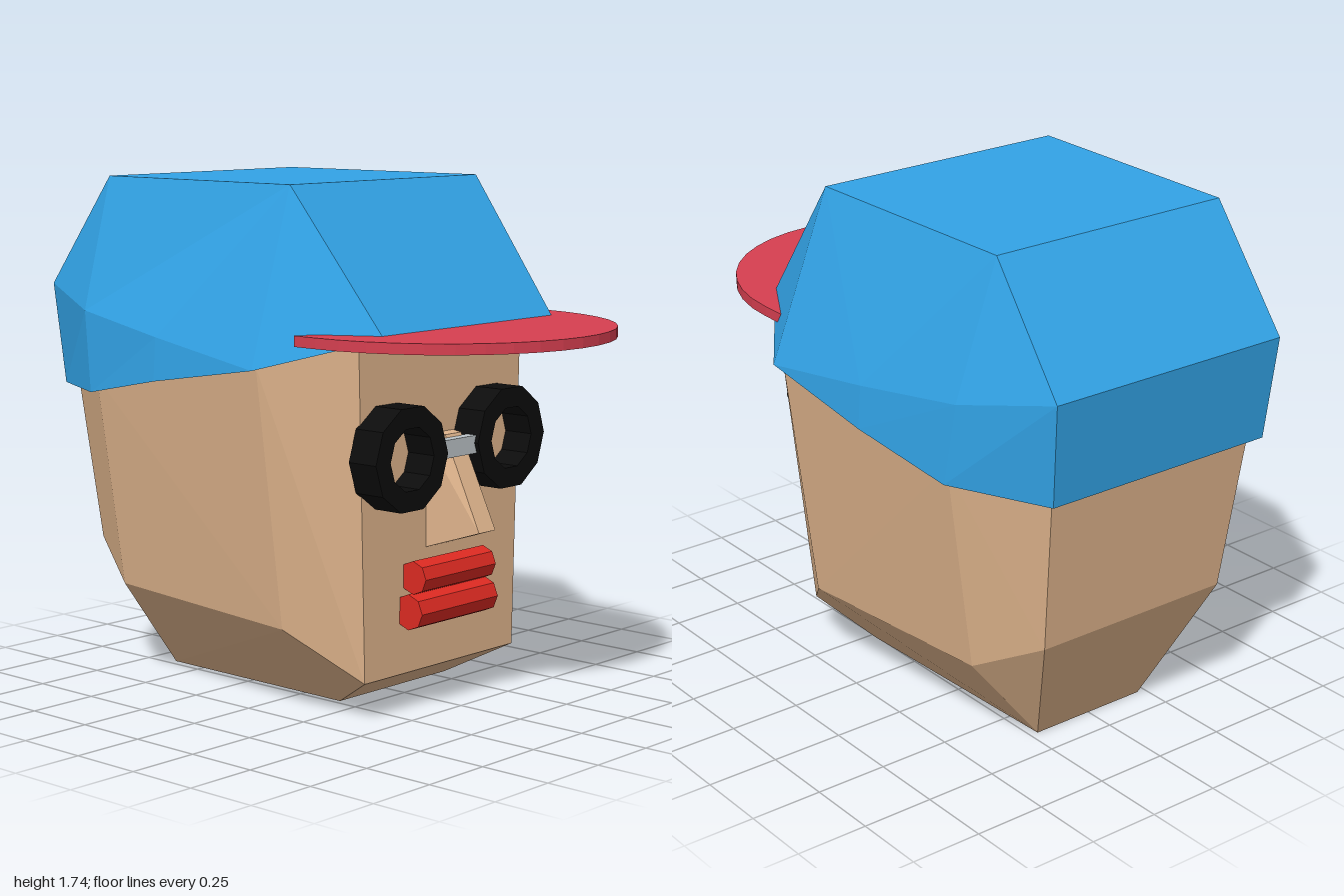
import * as THREE from 'three';
import { ConvexGeometry } from 'three/addons/geometries/ConvexGeometry.js';

const mat = (color, side = THREE.FrontSide) =>
  new THREE.MeshStandardMaterial({ color, flatShading: true, side });
const skin = mat(0xdfb48c), blue = mat(0x32a3e6, THREE.DoubleSide), crimson = mat(0xd63f50),
  lipRed = mat(0xdc2a22), black = mat(0x0c0c0c), silver = mat(0xbcc4c8);

const V = (p) => new THREE.Vector3(...p);
const flip = ([x, y, z]) => [-x, y, z];

function add(parent, name, geometry, material, pos = [0, 0, 0]) {
  const mesh = new THREE.Mesh(geometry, material);
  mesh.name = name;
  mesh.position.set(...pos);
  parent.add(mesh);
  return mesh;
}

// Joins closed rings of equal length with flat facets and caps the last ring
function loft(rings) {
  const out = [];
  const tri = (a, b, c) => {
    if (new THREE.Triangle(V(a), V(b), V(c)).getArea() > 1e-6) out.push(...a, ...b, ...c);
  };
  const n = rings[0].length;
  for (let r = 0; r < rings.length - 1; r++) {
    for (let i = 0; i < n; i++) {
      const j = (i + 1) % n, lo = rings[r], hi = rings[r + 1];
      tri(lo[i], lo[j], hi[j]);
      tri(lo[i], hi[j], hi[i]);
    }
  }
  const top = rings[rings.length - 1];
  for (let i = 1; i < n - 1; i++) tri(top[0], top[i], top[i + 1]);
  const geo = new THREE.BufferGeometry();
  geo.setAttribute('position', new THREE.Float32BufferAttribute(out, 3));
  geo.computeVertexNormals();
  return geo;
}

// Faceted skull: half of the corners, mirrored
function headGeometry() {
  const half = [
    [0.27, 0.015, 0.2], [0.22, 0, -0.64],
    [0.38, 0.13, 0.41], [0.525, 0.3, 0.18], [0.48, 0.33, -0.62], [0.37, 0.45, -0.85],
    [0.41, 1.25, 0.41], [0.64, 1.17, 0.18], [0.585, 1.06, -0.63], [0.41, 1.04, -0.925],
    [0.41, 1.6, 0.13], [0.4, 1.6, -0.62],
  ];
  return new ConvexGeometry([...half, ...half.map(flip)].map(V));
}

// Open cap: inner lip, rim, belt line and flat top
function capGeometry() {
  const ring = (half) => [...half, ...half.map(flip).reverse()];
  const rim = ring([[0.43, 1.265, 0.535], [0.67, 1.16, 0.19], [0.66, 1.085, -0.27], [0.605, 1.01, -0.64], [0.435, 1, -0.96]]);
  const lip = rim.map(([x, y, z]) => [x * 0.97, y + 0.005, z * 0.975]);
  const belt = ring([[0.43, 1.265, 0.535], [0.67, 1.16, 0.19], [0.65, 1.23, -0.27], [0.59, 1.285, -0.68], [0.455, 1.35, -0.995]]);
  const a = [0.465, 1.735, 0.165], b = [0.45, 1.735, -0.7];
  return loft([lip, rim, belt, ring([a, a, a, b, b])]);
}

// Crescent peak, drawn flat and laid down
function peakGeometry() {
  const shape = new THREE.Shape();
  shape.moveTo(0.58, 0.31);
  for (let i = 0; i <= 20; i++) {
    const t = (i / 20) * Math.PI;
    shape.lineTo(0.58 * Math.cos(t), 0.4 + 0.6 * Math.sin(t));
  }
  shape.lineTo(-0.58, 0.31);
  shape.quadraticCurveTo(0, 0.64, 0.58, 0.31);
  const geo = new THREE.ExtrudeGeometry(shape, { depth: 0.035, bevelEnabled: false, curveSegments: 10 });
  return geo.rotateX(Math.PI / 2);
}

// Ten-sided spectacle rim
function rimGeometry() {
  const circle = (r) => Array.from({ length: 10 }, (_, i) =>
    new THREE.Vector2(r * Math.cos(i * Math.PI / 5), r * Math.sin(i * Math.PI / 5)));
  const shape = new THREE.Shape(circle(0.176));
  shape.holes.push(new THREE.Path(circle(0.106)));
  return new THREE.ExtrudeGeometry(shape, { depth: 0.115, bevelEnabled: false });
}

export function createModel() {
  const model = new THREE.Group();
  model.name = 'cappedHead';

  add(model, 'head', headGeometry(), skin);

  // Hat
  const hat = new THREE.Group();
  hat.name = 'hat';
  add(hat, 'cap', capGeometry(), blue);
  add(hat, 'peak', peakGeometry(), crimson, [-0.022, 1.275, 0]);
  model.add(hat);

  // Glasses
  const glasses = new THREE.Group();
  glasses.name = 'glasses';
  add(glasses, 'rightRim', rimGeometry(), black, [-0.275, 0.866, 0.405]);
  add(glasses, 'leftRim', rimGeometry(), black, [0.23, 0.88, 0.405]);
  add(glasses, 'bridge', new THREE.BoxGeometry(0.19, 0.06, 0.04), silver, [-0.022, 0.875, 0.485]);
  model.add(glasses);

  // Wedge nose
  const nose = [
    [0.072, 0.915, 0.4], [0.04, 0.915, 0.465], [0.042, 0.605, 0.612], [0.072, 0.535, 0.4],
  ];
  add(model, 'nose', new ConvexGeometry([...nose, ...nose.map(flip)].map(V)), skin, [-0.008, 0, 0]);

  // Octagonal lips
  const lip = (name, radius, width, pos) =>
    add(model, name, new THREE.CylinderGeometry(radius, radius, width, 8).rotateZ(Math.PI / 2), lipRed, pos);
  lip('upperLip', 0.056, 0.36, [-0.01, 0.457, 0.45]);
  lip('lowerLip', 0.06, 0.39, [-0.014, 0.345, 0.447]);

  return model;
}
